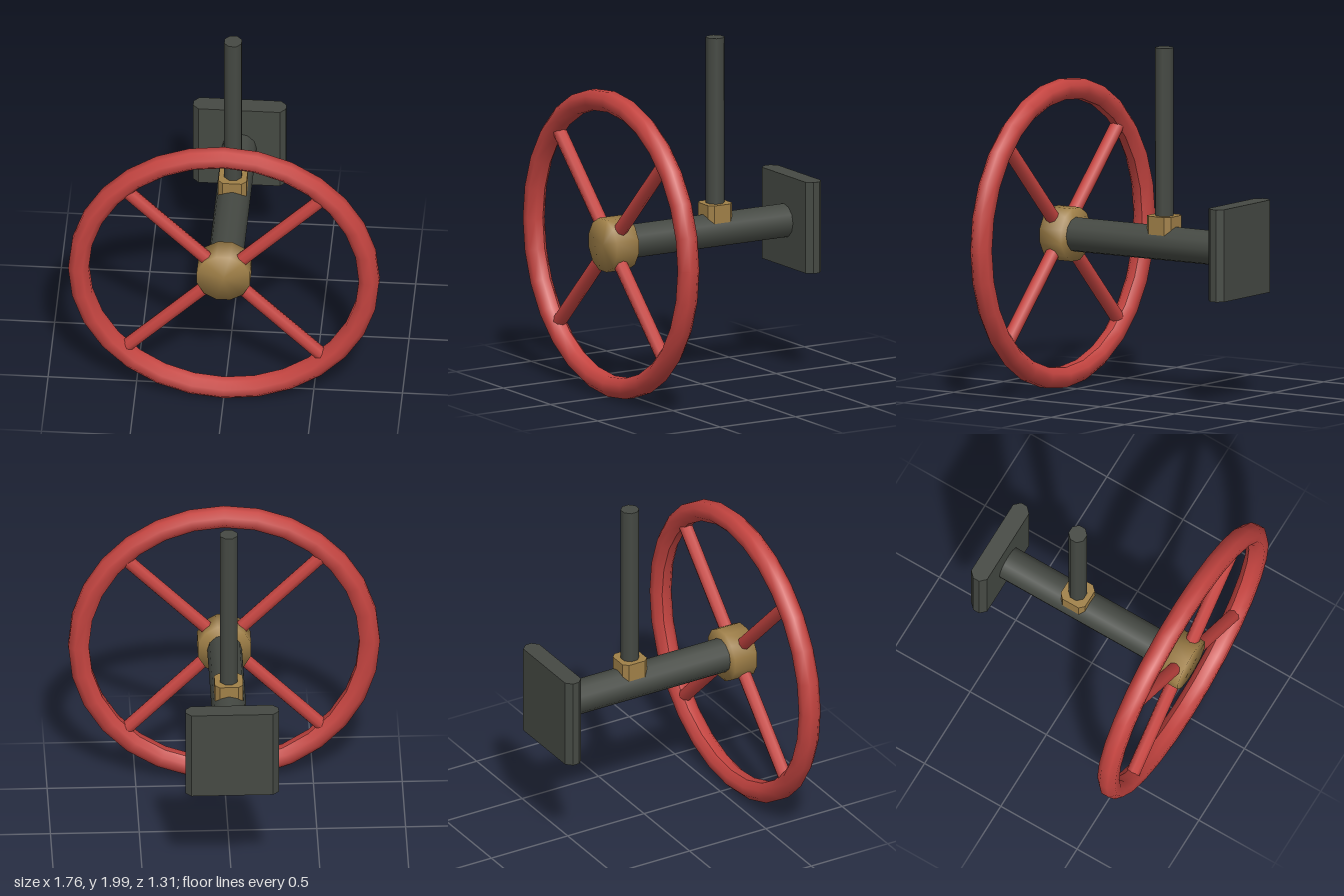
import * as THREE from 'three';
import { mergeVertices } from 'three/addons/utils/BufferGeometryUtils.js';

const AXIS_Y = 0.887, WHEEL_Z = 0.597;

export function createModel() {
  const group = new THREE.Group();
  const red = new THREE.MeshStandardMaterial({ color: 0xc44440, side: THREE.DoubleSide });
  const brass = new THREE.MeshStandardMaterial({ color: 0xa08048 });
  const iron = new THREE.MeshStandardMaterial({ color: 0x454943 });

  function add(name, geometry, material, x = 0, y = 0, z = 0) {
    const mesh = new THREE.Mesh(geometry, material);
    mesh.name = name;
    mesh.position.set(x, y, z);
    group.add(mesh);
    return mesh;
  }

  // Rectangle with cut corners in x/z, raised along y from 0
  function chamferedBlock(w, d, cut, height) {
    const a = w / 2, b = d / 2;
    const shape = new THREE.Shape([
      [a, -b + cut], [a, b - cut], [a - cut, b], [-a + cut, b],
      [-a, b - cut], [-a, -b + cut], [-a + cut, -b], [a - cut, -b],
    ].map(([x, y]) => new THREE.Vector2(x, y)));
    return new THREE.ExtrudeGeometry(shape, { depth: height, bevelEnabled: false }).rotateX(-Math.PI / 2);
  }

  // Rim: octagonal section swept around the wheel, with a fine split at +x
  const section = [];
  for (let i = 0; i <= 8; i++) {
    const a = Math.PI + (i + 0.5) * Math.PI / 4;
    section.push(new THREE.Vector2(0.82 + 0.0625 * Math.cos(a), 0.0625 * Math.sin(a)));
  }
  const rim = new THREE.LatheGeometry(section, 28, Math.PI / 2).rotateX(Math.PI / 2);
  const pos = rim.attributes.position;
  const ring = section.length;
  for (let j = 0; j < ring; j++) {
    const last = pos.count - ring + j;
    const open = (pos.getX(j) - 0.762) * 0.07;
    pos.setY(j, -open);
    pos.setY(last, open);
  }
  add('rim', rim, red, 0, AXIS_Y, WHEEL_Z);

  // Four diagonal spokes from hub to rim
  for (let i = 0; i < 4; i++) {
    const spoke = new THREE.CylinderGeometry(0.04, 0.04, 0.74, 8)
      .translate(0, 0.43, 0).rotateZ(Math.PI / 4 + i * Math.PI / 2);
    add('spoke', spoke, red, 0, AXIS_Y, WHEEL_Z);
  }

  // Hub: short disc with soft shading over its edges
  let hub = new THREE.CylinderGeometry(0.155, 0.155, 0.145, 12)
    .rotateY(Math.PI / 12).rotateX(Math.PI / 2);
  hub.deleteAttribute('normal');
  hub.deleteAttribute('uv');
  hub = mergeVertices(hub);
  hub.computeVertexNormals();
  add('hub', hub, brass, 0, AXIS_Y, 0.58);

  // Horizontal pipe from wall plate to hub
  const pipe = new THREE.CylinderGeometry(0.098, 0.098, 1.1, 12).rotateX(Math.PI / 2);
  add('pipe', pipe, iron, 0, AXIS_Y, -0.02);

  // Square plate with cut upright edges
  add('wallPlate', chamferedBlock(0.525, 0.105, 0.033, 0.525), iron, 0, 0.625, -0.602);

  // Collar and the upright rod it holds
  add('collar', chamferedBlock(0.16, 0.16, 0.027, 0.135), brass, 0, 0.91, -0.093);
  const rod = new THREE.CylinderGeometry(0.053, 0.053, 1.06, 8).rotateY(Math.PI / 8);
  add('uprightRod', rod, iron, 0, 1.47, -0.093);

  return group;
}
